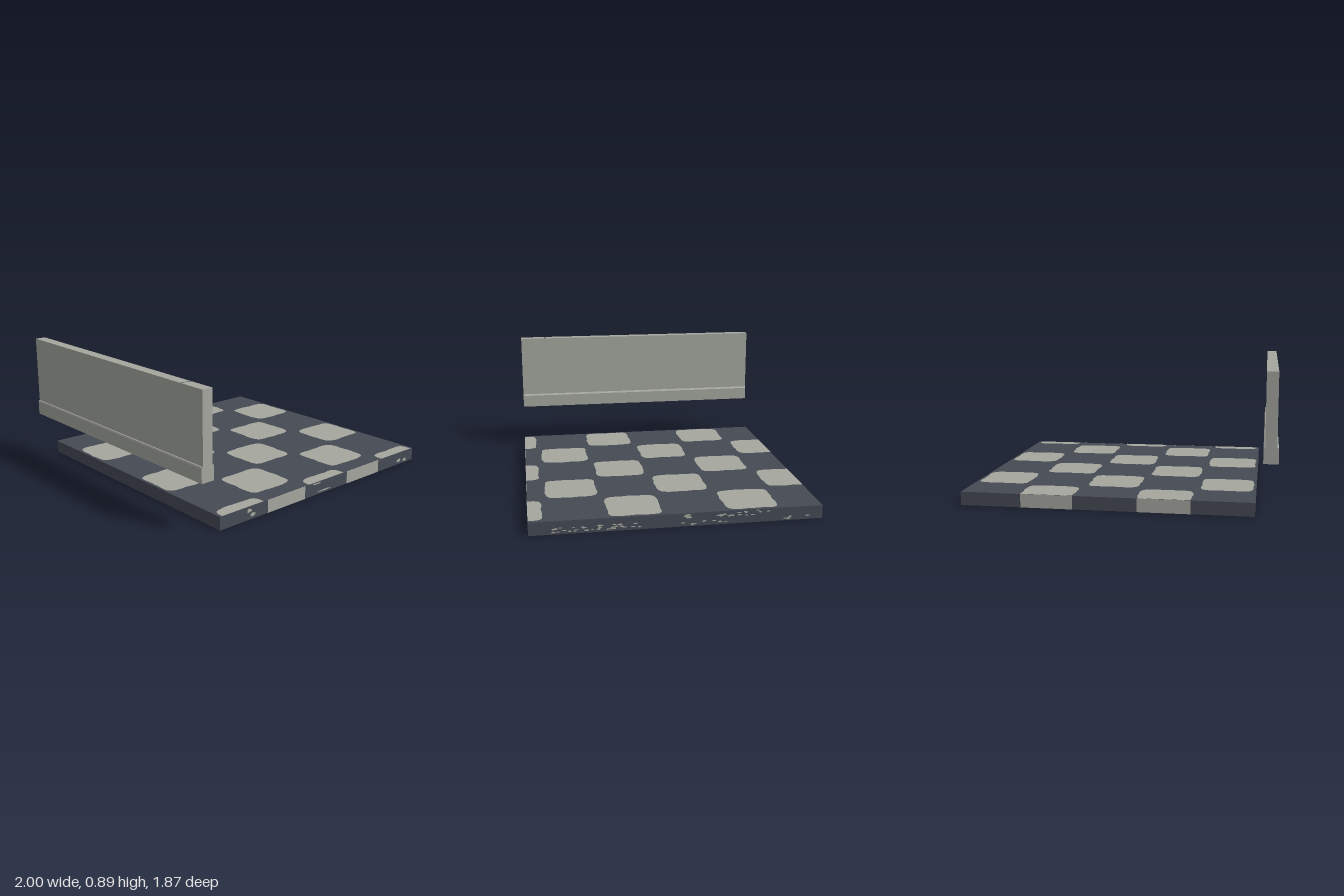
import * as THREE from 'three';

const X0 = -0.866, X1 = 1, Z = 0.932, TOP = 0.087, SKIN = 0.0015;

// small seeded generator for worn edges
function seeded(seed) {
  return () => (seed = (seed * 16807) % 2147483647) / 2147483647;
}

// rounded square outline with a slightly worn edge, clipped at the slab rim
function tileShape(cx, cz, half, rand) {
  const pts = [];
  const p1 = rand() * 6.28, p2 = rand() * 6.28;
  const n = 72;
  for (let i = 0; i < n; i++) {
    const a = (i / n) * Math.PI * 2;
    const c = Math.cos(a), s = Math.sin(a);
    const wear = 0.003 * Math.sin(5 * a + p1) + 0.002 * Math.sin(11 * a + p2);
    const r = half / Math.pow(Math.abs(c) ** 7 + Math.abs(s) ** 7, 1 / 7) + wear;
    const x = THREE.MathUtils.clamp(cx + r * c, X0, X1);
    const z = THREE.MathUtils.clamp(cz + r * s, -Z, Z);
    pts.push(new THREE.Vector2(x, -z));
  }
  return new THREE.Shape(pts);
}

// irregular chip outline, wide and low
function chipShape(w, h, rand) {
  const pts = [];
  for (let i = 0; i < 9; i++) {
    const a = (i / 9) * Math.PI * 2, r = 0.65 + 0.35 * rand();
    pts.push(new THREE.Vector2(Math.cos(a) * r * w / 2, Math.sin(a) * r * h / 2));
  }
  return new THREE.Shape(pts);
}

export function createModel() {
  const model = new THREE.Group();
  model.name = 'checkeredFloorWithWall';
  const stone = new THREE.MeshStandardMaterial({ color: 0xa5a79f });
  stone.name = 'pale stone';
  const slate = new THREE.MeshStandardMaterial({ color: 0x454a54 });
  slate.name = 'dark slate';
  const rand = seeded(41);

  function add(parent, name, geometry, material, x = 0, y = 0, z = 0) {
    const mesh = new THREE.Mesh(geometry, material);
    mesh.name = name;
    mesh.position.set(x, y, z);
    parent.add(mesh);
    return mesh;
  }

  // floor slab
  const floor = new THREE.Group();
  floor.name = 'floor';
  model.add(floor);
  add(floor, 'slab', new THREE.BoxGeometry(X1 - X0, TOP, Z * 2), slate, (X0 + X1) / 2, TOP / 2, 0);

  // staggered pale tiles, showing on the top and the underside
  const outerX = [-0.68, 0.066, 0.812], innerX = [-0.306, 0.438];
  const rows = [
    [innerX, -0.855], [outerX, -0.481], [innerX, -0.105],
    [outerX, 0.267], [innerX, 0.64], [outerX, 1.013],
  ];
  for (const [columns, z] of rows) {
    for (const x of columns) {
      const geometry = new THREE.ShapeGeometry(tileShape(x, z, 0.17, rand));
      add(floor, 'topTile', geometry, stone, 0, TOP + SKIN, 0).rotation.x = -Math.PI / 2;
      const under = geometry.clone().scale(1, -1, 1);
      const index = under.index.array;
      for (let i = 0; i < index.length; i += 3) {
        [index[i], index[i + 1]] = [index[i + 1], index[i]];
      }
      // mirrored outline turned face down
      const normals = under.attributes.normal;
      for (let i = 0; i < normals.count; i++) normals.setXYZ(i, 0, 0, 1);
      add(floor, 'undersideTile', under, stone, 0, -SKIN, 0).rotation.x = Math.PI / 2;
    }
  }

  // pale blocks on the front and back rims
  for (const x of innerX) {
    for (const side of [-1, 1]) {
      add(floor, 'rimBlock', new THREE.BoxGeometry(0.335, TOP, 0.003), stone, x, TOP / 2, side * Z);
    }
  }

  // worn chips on the front rim: x, y, width, height
  const frontChips = [
    [-0.63, 0.06, 0.05, 0.03], [-0.6, 0.03, 0.05, 0.03], [-0.03, 0.078, 0.1, 0.012],
    [0.04, 0.017, 0.17, 0.014], [0.84, 0.028, 0.05, 0.03], [0.91, 0.022, 0.05, 0.035],
  ];
  for (const [x, y, w, h] of frontChips) {
    add(floor, 'frontChip', new THREE.ShapeGeometry(chipShape(w, h, rand)), stone, x, y, Z + SKIN);
  }

  // worn specks on the left rim: centre z, centre y, spread z, spread y, count
  const patches = [
    [0.52, 0.028, 0.62, 0.03, 36], [-0.05, 0.066, 0.06, 0.03, 7],
    [-0.42, 0.066, 0.34, 0.03, 18], [-0.2, 0.022, 0.35, 0.025, 8], [-0.75, 0.02, 0.25, 0.02, 5],
  ];
  for (const [z, y, dz, dy, count] of patches) {
    for (let i = 0; i < count; i++) {
      const chip = new THREE.ShapeGeometry(chipShape(0.02 + 0.02 * rand(), 0.008 + 0.006 * rand(), rand));
      const mesh = add(floor, 'rimSpeck', chip, stone, X1 + SKIN / 2,
        y + (rand() - 0.5) * dy, z + (rand() - 0.5) * dz);
      mesh.rotation.y = Math.PI / 2;
    }
  }

  // raised wall with a chamfered skirting, one profile run along z
  const wall = new THREE.Group();
  wall.name = 'wall';
  model.add(wall);
  const half = [[0.046, 0.328], [0.046, 0.418], [0.042, 0.428], [0.036, 0.43], [0.036, 0.885]];
  const outline = [...half, ...half.slice().reverse().map(([x, y]) => [-x, y])];
  const profile = new THREE.Shape(outline.map(([x, y]) => new THREE.Vector2(x, y)));
  add(wall, 'wallPanel',
    new THREE.ExtrudeGeometry(profile, { depth: 1.86, bevelEnabled: false }), stone, -0.954, 0, -Z);

  // dark crack across the top of the wall
  const crack = new THREE.Shape([[-0.036, -0.725], [0, -0.735], [0.036, -0.735], [0.036, -0.75], [0.005, -0.742], [-0.036, -0.74]]
    .map(([x, y]) => new THREE.Vector2(x, y)));
  const crackMaterial = slate;
  const crackGeometry = new THREE.ShapeGeometry(crack);
  add(wall, 'wallCrack', crackGeometry, crackMaterial, -0.954, 0.885 + SKIN / 2, 0).rotation.x = -Math.PI / 2;

  return model;
}
